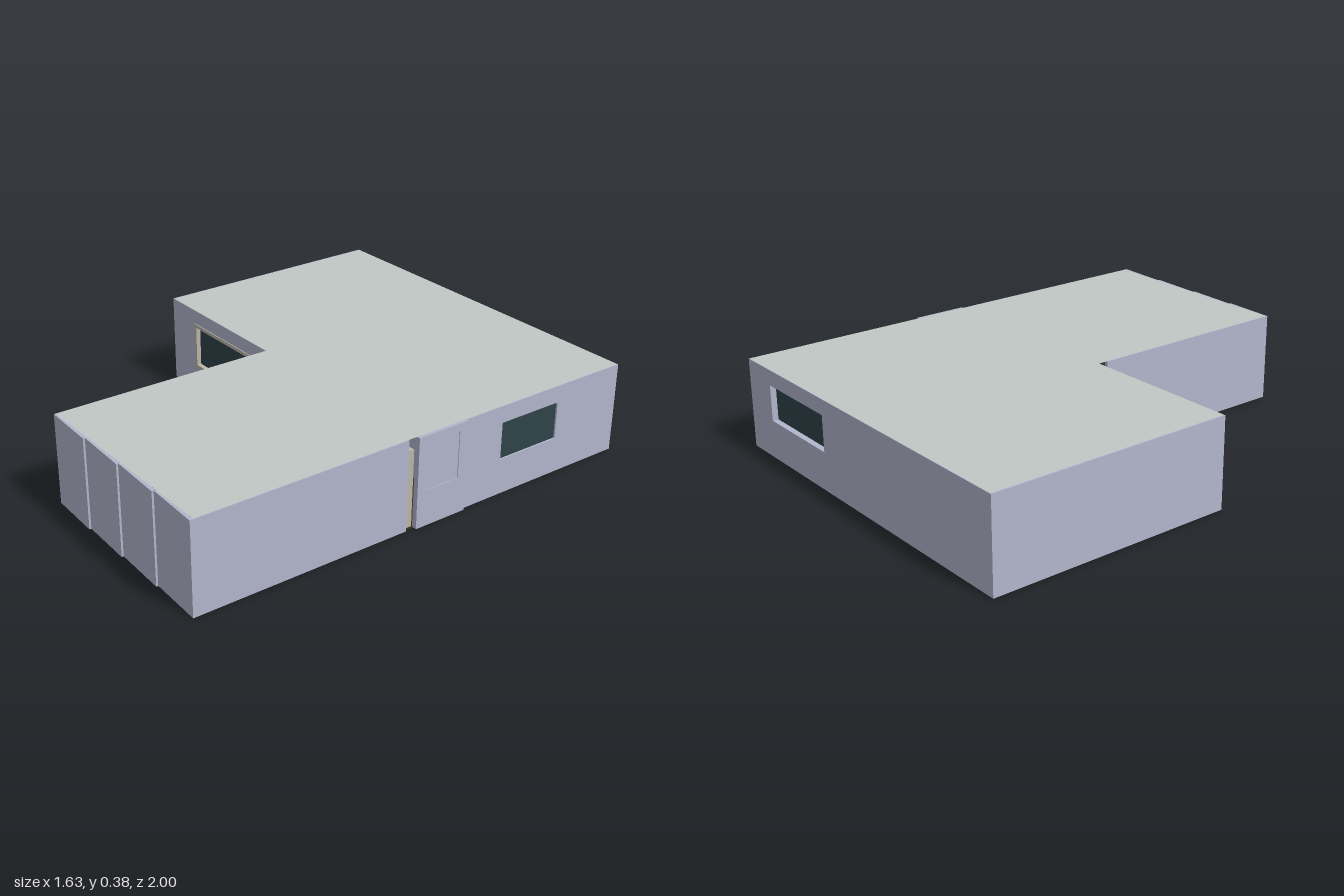
import * as THREE from 'three';

const H = 0.375;
const mat = (color) => new THREE.MeshStandardMaterial({ color, side: THREE.DoubleSide });

export function createModel() {
  const house = new THREE.Group();
  const wallMat = mat(0xb2b6cc), ceilingMat = mat(0xc0c8c4), floorMat = mat(0x3a3022);
  const glassMat = mat(0x30444a), trimMat = mat(0xbab6aa);

  const add = (name, geometry, material) => {
    const mesh = new THREE.Mesh(geometry, material);
    mesh.name = name;
    house.add(mesh);
    return mesh;
  };

  // Box given by its limits on each axis
  const block = (name, x0, x1, y0, y1, z0, z1, material = wallMat) => {
    const mesh = add(name, new THREE.BoxGeometry(x1 - x0, y1 - y0, z1 - z0), material);
    mesh.position.set((x0 + x1) / 2, (y0 + y1) / 2, (z0 + z1) / 2);
    return mesh;
  };

  // Upright sheet from a to b with a rectangular hole, extruded by depth
  const sheet = (a, b, y0, y1, [ha, hb, hy0, hy1], depth) => {
    const shape = new THREE.Shape();
    shape.moveTo(a, y0).lineTo(b, y0).lineTo(b, y1).lineTo(a, y1).closePath();
    const hole = new THREE.Path();
    hole.moveTo(ha, hy0).lineTo(ha, hy1).lineTo(hb, hy1).lineTo(hb, hy0).closePath();
    shape.holes.push(hole);
    return new THREE.ExtrudeGeometry(shape, { depth, bevelEnabled: false });
  };

  // L-shaped floor and ceiling
  const plan = new THREE.Shape([
    [-0.815, 0.998], [0.802, 0.998], [0.802, -0.985], [-0.123, -0.985],
    [-0.123, -0.038], [-0.815, -0.038],
  ].map(([x, y]) => new THREE.Vector2(x, y)).reverse());
  for (const [name, y, material] of [['floor', 0.002, floorMat], ['ceiling', H + 0.001, ceilingMat]]) {
    add(name, new THREE.ShapeGeometry(plan).rotateX(-Math.PI / 2), material).position.y = y;
  }

  // Outer walls without openings
  block('leftOuterWall', -0.82, -0.806, 0, H, -1, 0.04);
  block('wingInnerWall', -0.125, -0.111, 0, H, 0.08, 0.985);
  block('wingOuterWall', 0.79, 0.805, 0, H, 0.08, 0.985);

  // Front wall with framed window
  const frontHole = [-0.64, -0.24, 0.12, 0.305];
  add('frontWall', sheet(-0.82, -0.125, 0, H, frontHole, 0.04), wallMat);
  add('frontWindowFrame', sheet(-0.65, -0.23, 0.11, 0.315, [-0.635, -0.245, 0.125, 0.3], 0.044), trimMat);
  block('frontWindowGlass', -0.64, -0.24, 0.12, 0.305, 0.016, 0.024, glassMat);

  // Back wall with recessed window
  add('backWall', sheet(-0.82, 0.805, 0, H, [0.24, 0.64, 0.16, 0.31], 0.04), wallMat).position.z = -1;
  block('backWindowGlass', 0.24, 0.64, 0.16, 0.31, -0.975, -0.967, glassMat);

  // Side wall with window; sheet's own x axis runs towards -z
  const side = (name, geometry, x, material = wallMat) => {
    geometry.rotateY(Math.PI / 2);
    add(name, geometry, material).position.x = x;
  };
  side('sideWall', sheet(0.19, 1, 0, H, [0.38, 0.67, 0.15, 0.305], 0.015), 0.79);
  block('sideWindowGlass', 0.792, 0.798, 0.15, 0.305, -0.67, -0.38, glassMat);

  // Entrance door with an inset panel, standing slightly proud
  side('entranceDoor', sheet(-0.04, 0.195, 0, H, [-0.005, 0.155, 0.15, 0.345], 0.022), 0.793);
  block('entranceDoorPanel', 0.797, 0.812, 0.15, 0.345, -0.155, 0.005);

  // Lower partition between hall and wing, with a doorway
  for (const [x0, x1] of [[-0.125, 0.25], [0.38, 0.79]]) {
    block('wingPartition', x0, x1, 0, 0.32, 0.042, 0.078, trimMat);
  }

  // Inner partitions
  block('hallPartition', -0.13, 0.22, 0, H, -0.24, -0.2);
  block('hallPartition', 0.38, 0.79, 0, H, -0.24, -0.2);
  block('roomPartition', 0.095, 0.108, 0, H, -0.96, -0.24);
  block('roomPartition', -0.128, -0.115, 0, H, -0.75, -0.24);

  // Inner door left ajar
  const innerDoor = block('innerDoor', -0.16, -0.15, 0, H, -0.955, -0.765);
  innerDoor.rotation.y = -0.36;

  // Four wing front panels, each tilted so its right edge steps forward
  const width = 0.2325;
  for (let i = 0; i < 4; i++) {
    const x0 = -0.125 + i * width;
    const panel = block('wingFrontPanel', x0, x0 + width, 0, H, 0.981, 0.996);
    panel.rotation.y = -0.035;
  }
  return house;
}
